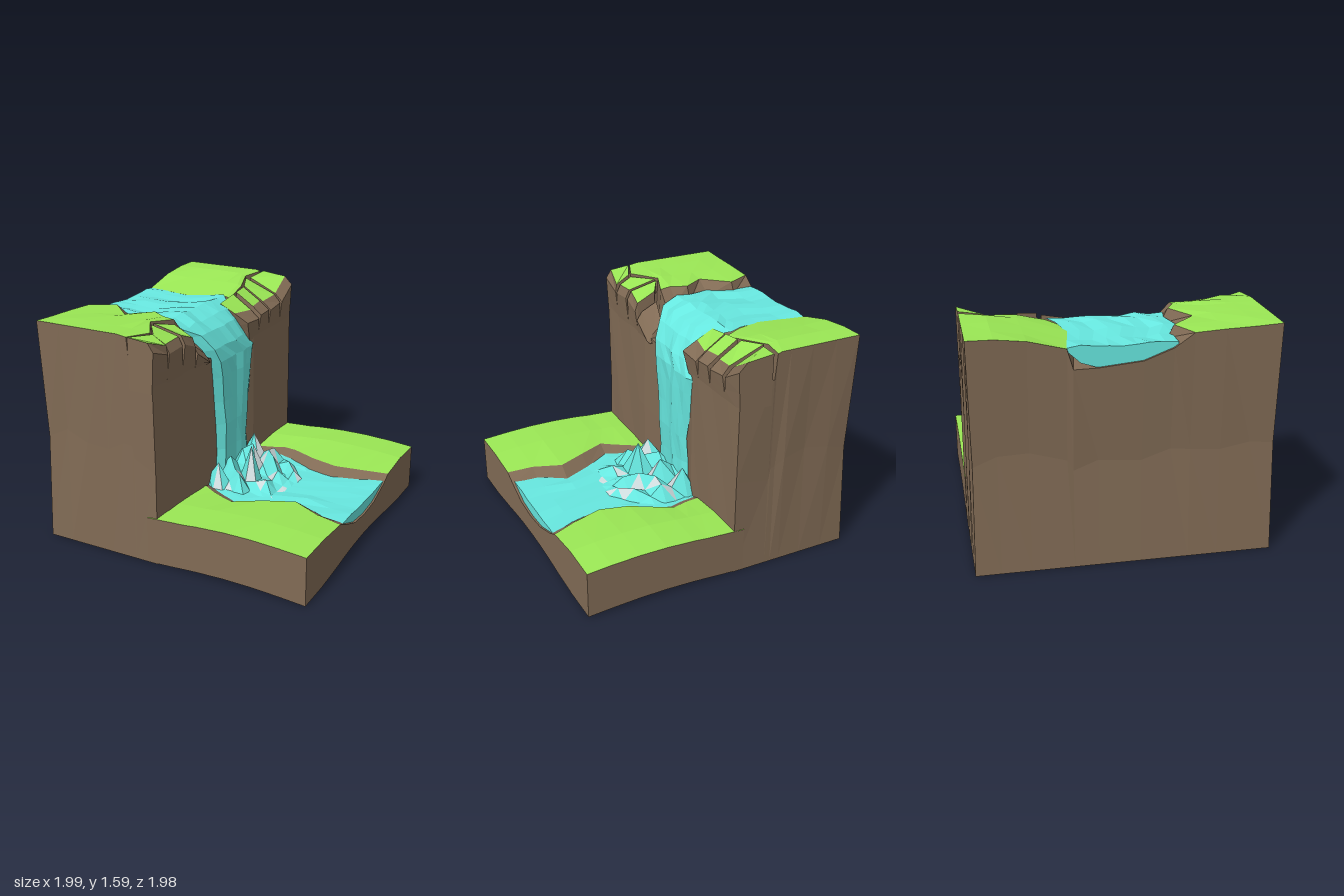
import * as THREE from 'three';

const mat = (name, color) => {
  const m = new THREE.MeshStandardMaterial({ color, flatShading: true, side: THREE.DoubleSide });
  m.name = name;
  return m;
};

// Small seeded wobble in -0.5..0.5
const wob = (a, b) => {
  const s = Math.sin(a * 12.9898 + b * 78.233) * 43758.5453;
  return s - Math.floor(s) - 0.5;
};

// Skin over a grid of points: rows run along +x, columns from +z to -z
function strip(out, rows) {
  for (let i = 0; i + 1 < rows.length; i++)
    for (let j = 0; j + 1 < rows[i].length; j++) {
      const a = rows[i][j], b = rows[i + 1][j], c = rows[i + 1][j + 1], d = rows[i][j + 1];
      out.push(...a, ...b, ...c, ...a, ...c, ...d);
    }
}

function mesh(name, material, positions) {
  const g = new THREE.BufferGeometry();
  g.setAttribute('position', new THREE.Float32BufferAttribute(positions, 3));
  g.computeVertexNormals();
  const m = new THREE.Mesh(g, material);
  m.name = name;
  return m;
}

// Solid below a grid of top points; isGrass picks the green top cells.
// The walls have a middle ring, pulled in at the first row by inset.
function block(rock, grass, rows, base, isGrass, inset = 0) {
  const n = rows[0].length, last = rows.length - 1;
  const low = rows.map(r => r.map(base));
  const mid = rows.map((r, i) => r.map((p, j) => {
    const q = low[i][j], rough = inset * wob(Math.round(p[0] * 6), j + 5);
    return [
      (p[0] + q[0]) / 2 + (i === 0 ? inset + rough * 0.3 : rough * 0.3),
      (p[1] + q[1]) / 2 + rough * 3,
      (p[2] + q[2]) / 2 - (j === 0 || j === n - 1 ? Math.sign(p[2]) * Math.abs(rough) : 0),
    ];
  }));
  for (let i = 0; i < last; i++)
    for (let j = 0; j + 1 < n; j++)
      strip(isGrass(i, j) ? grass : rock, [rows[i].slice(j, j + 2), rows[i + 1].slice(j, j + 2)]);
  strip(rock, [low[0], mid[0], rows[0]]);
  strip(rock, [rows[last], mid[last], low[last]]);
  strip(rock, rows.map((r, i) => [low[i][0], mid[i][0], r[0]]));
  strip(rock, rows.map((r, i) => [r[n - 1], mid[i][n - 1], low[i][n - 1]]));
  strip(rock, low.map(r => [...r].reverse()));
}

export function createModel() {
  const group = new THREE.Group();
  const rockMat = mat('brown rock', 0x816b55);
  const grassMat = mat('grass green', 0x9be855);
  const waterMat = mat('turquoise water', 0x69ece4);
  const foamMat = mat('pale foam', 0xd0dcde);

  // ---- Upper cliff: x, grass edge (+z), water edge (+z), grass edge (-z)
  const upper = [
    [-1, 0.42, 0.29, -0.38], [-0.82, 0.33, 0.29, -0.35], [-0.64, 0.5, 0.36, -0.32],
    [-0.47, 0.38, 0.33, -0.36], [-0.36, 0.44, 0.35, -0.42],
  ];
  const upperRow = ([x, gp, wp, gn], i) => [
    [0.99, 1.585], [0.82, 1.58], [0.62, 1.575], [gp, 1.56], [wp, 1.47], [0.1, 1.4], [-0.18, 1.36],
    [gn + 0.04, 1.37], [gn, 1.5], [-0.62, 1.555], [-0.82, 1.58], [-0.99, 1.585],
  ].map(([z, y], j) => [x, y + (j > 0 && j < 11 && j !== 8 ? 0.015 * wob(i, j) : 0), z]);
  const cliffRows = upper.map(upperRow);
  // The broken ledge starts at a ragged line, then drops to a shelf, hollowed behind the fall
  const ledgeX = [-0.29, -0.22, -0.35, -0.28, -0.28, -0.3, -0.3, -0.33, -0.33, -0.34, -0.41, -0.37];
  const rim = cliffRows[4].map(([x, y, z], j) => [ledgeX[j], y - 0.01, z]);
  cliffRows[4].forEach((p, j) => { p[0] = Math.min(p[0], ledgeX[j] - 0.03); });
  const hollow = j => j === 5 || j === 6;
  const shelfY = j => (hollow(j) ? 1.2 : j === 0 || j === 11 ? 1.4 : 1.28);
  cliffRows.push(rim,
    rim.map((p, j) => [p[0] + 0.015, shelfY(j), p[2]]),
    rim.map((p, j) => [hollow(j) ? -0.15 : -0.105, shelfY(j), p[2]]));
  const cliffRock = [], cliffGrass = [];
  block(cliffRock, cliffGrass, cliffRows, p => [p[0], 0, p[2]],
    (i, j) => i < 5 && (j < 3 || j > 7), 0.035);
  group.add(mesh('cliff', rockMat, cliffRock), mesh('cliffGrass', grassMat, cliffGrass));

  // ---- Cracked slabs along the cliff edge: z0, z1, back x0, x1, back y0, y1, front y0, y1, front x0, x1
  const slabs = [
    [0.99, 0.82, -0.28, -0.2, 1.575, 1.56, 1.56, 1.5, -0.13, -0.1],
    [0.8, 0.64, -0.21, -0.33, 1.55, 1.56, 1.5, 1.51, -0.12, -0.12],
    [0.61, 0.48, -0.33, -0.25, 1.56, 1.53, 1.51, 1.46, -0.12, -0.11],
    [0.45, 0.28, -0.25, -0.21, 1.46, 1.35, 1.4, 1.29, -0.13, -0.14],
    [-0.26, -0.44, -0.32, -0.31, 1.49, 1.52, 1.43, 1.42, -0.2, -0.16],
    [-0.47, -0.6, -0.3, -0.31, 1.53, 1.54, 1.44, 1.45, -0.16, -0.17],
    [-0.63, -0.79, -0.32, -0.39, 1.54, 1.56, 1.44, 1.46, -0.16, -0.14],
    [-0.82, -0.99, -0.37, -0.34, 1.56, 1.58, 1.46, 1.56, -0.15, -0.15],
  ];
  const slabRock = [], slabGrass = [];
  slabs.forEach(([z0, z1, x0, x1, b0, b1, f0, f1, e0, e1], k) => {
    const mid = (z0 + z1) / 2;
    const rows = [
      [[x0, b0, z0], [x1, b1, z1]],
      [[e0, f0, z0], [e1, f1, z1]],
      [[-0.09, f0 - 0.06, z0], [-0.09, f1 - 0.06, z1]],
    ];
    const base = ([x, , z]) => [Math.min(x, -0.107), 1.22,
      THREE.MathUtils.clamp(z + Math.sign(z - mid) * (z === -0.26 ? -0.06 : 0.02), -0.99, 0.99)];
    block(slabRock, slabGrass, rows, base, i => i === 0 && k !== 3);
  });
  group.add(mesh('edgeSlabs', rockMat, slabRock), mesh('edgeSlabGrass', grassMat, slabGrass));

  // ---- Lower ground: x, ground height, grass edge (+z), grass edge (-z)
  const lower = [
    [-0.18, 0.335, 0.3, -0.47], [0, 0.345, 0.42, -0.5], [0.1, 0.35, 0.47, -0.53], [0.2, 0.36, 0.52, -0.5],
    [0.4, 0.37, 0.42, -0.4], [0.6, 0.37, 0.33, -0.35], [0.8, 0.36, 0.42, -0.4], [0.99, 0.345, 0.45, -0.46],
  ];
  const lowerRows = lower.map(([x, y, gp, gn], i) => [
    [0.99, y], [0.72, y + 0.008 * wob(i, 1)], [gp, y - 0.02], [gp - 0.11, 0.275], [gp * 0.4, 0.215], [0, 0.2],
    [gn * 0.4, 0.215], [gn + 0.09, 0.275], [gn, y - 0.025], [-0.72, y + 0.008 * wob(i, 2)], [-0.99, y - 0.01],
  ].map(([z, h]) => [x - (x > 0.9 ? 0.01 * (1 - z) : 0), h, z]));
  const lowerBase = ([x, , z]) => {
    const arch = 0.028 * Math.sin(Math.PI * Math.max(0, (x + 0.12) / 1.11));
    const dip = 0.05 * Math.max(0, 1 - (z / 0.6) ** 2) * Math.max(0, (x - 0.4) / 0.6);
    return [x, Math.max(arch, dip), z];
  };
  const lowRock = [], lowGrass = [];
  block(lowRock, lowGrass, lowerRows, lowerBase, (i, j) => j < 2 || j > 7);
  group.add(mesh('lowerGround', rockMat, lowRock), mesh('lowerGrass', grassMat, lowGrass));

  // ---- Upper stream and waterfall: x, y, edge (+z), edge (-z)
  const fall = [
    [-0.985, 1.5, 0.32, -0.38], [-0.82, 1.5, 0.32, -0.36], [-0.64, 1.5, 0.4, -0.33], [-0.47, 1.51, 0.35, -0.37],
    [-0.38, 1.515, 0.37, -0.42], [-0.26, 1.46, 0.36, -0.3], [-0.18, 1.4, 0.33, -0.28], [-0.11, 1.29, 0.26, -0.3],
    [-0.088, 1.19, 0.22, -0.4], [-0.085, 1.07, 0.19, -0.36], [-0.085, 0.88, 0.16, -0.33], [-0.085, 0.7, 0.13, -0.29],
    [-0.095, 0.5, 0.12, -0.3], [-0.095, 0.25, 0.14, -0.34],
  ];
  const COLS = 8;
  const sheet = (stations, amount, ridge) => stations.map(([x, y, a, b], i) =>
    Array.from({ length: COLS + 1 }, (_, j) => {
      const steep = ridge && i > 5;
      const push = j === 0 ? -0.06 : j === COLS ? -0.03 : 0.012 * wob(i, j) + (j === 5 ? 0.012 : 0);
      return [
        x + (steep ? push : 0),
        y + (j % COLS === 0 || steep ? 0 : amount * wob(i, j + 9)),
        a + (b - a) * j / COLS,
      ];
    }));
  const fallRows = sheet(fall, 0.03, true);
  const belly = (row, top, depth) => row.map((p, j) =>
    [p[0], top - depth * Math.sin(Math.PI * j / COLS) ** 0.5, p[2]]);
  const water = [];
  strip(water, [belly(fallRows[0], 1.48, 0.13), ...fallRows]);
  group.add(mesh('streamAndWaterfall', waterMat, water));

  // ---- Lower river with a rounded end
  const river = lower.map(([x, , gp, gn]) => [Math.min(x, 0.965), 0.288, gp - 0.03, gn + 0.03]);
  const riverRows = sheet(river, 0.018, false);
  const riverSkin = [];
  strip(riverSkin, [...riverRows, belly(riverRows[river.length - 1], 0.288, 0.09)]);
  group.add(mesh('lowerRiver', waterMat, riverSkin));

  // ---- Splash: spiky field of water and foam facets at the foot of the fall
  const peaks = { '1,1': 0.46, '1,3': 0.44, '1,5': 0.43, '1,7': 0.49, '2,2': 0.39, '3,3': 0.555, '2,5': 0.49,
    '3,1': 0.41, '3,6': 0.42, '3,7': 0.4, '4,5': 0.42, '5,2': 0.36, '5,4': 0.36, '5,6': 0.36, '6,5': 0.34 };
  const NX = 8, NZ = 9;
  const field = Array.from({ length: NX }, (_, i) => Array.from({ length: NZ }, (_, j) => {
    const rimNode = i === NX - 1 || j === 0 || j === NZ - 1;
    const y = peaks[`${i},${j}`] ?? (rimNode ? 0.275 : 0.355 - 0.012 * i + 0.05 * wob(i, j));
    return [-0.15 + 0.085 * i, y, 0.32 - 0.092 * j];
  }));
  const splash = [], foam = [];
  for (let i = 0; i + 1 < NX; i++)
    for (let j = 0; j + 1 < NZ; j++) {
      const a = field[i][j], b = field[i + 1][j], c = field[i + 1][j + 1], d = field[i][j + 1];
      [[a, b, d], [b, c, d]].forEach((t, k) =>
        (wob(i + 7 * k, j + 21) > 0.24 ? foam : splash).push(...t.flat()));
    }
  group.add(mesh('splashWater', waterMat, splash), mesh('splashFoam', foamMat, foam));
  return group;
}
